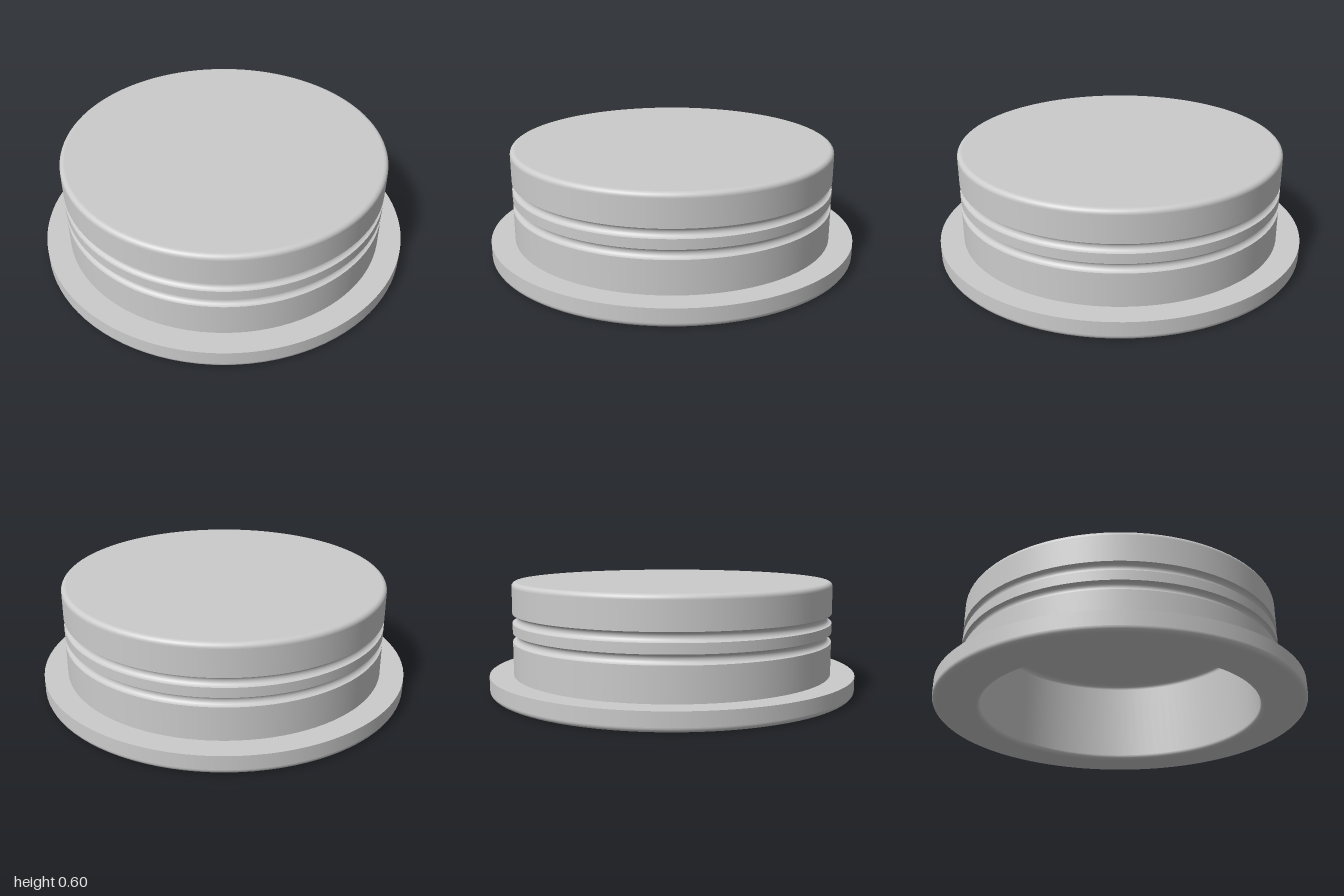
import * as THREE from 'three';

const SEGMENTS = 96;
const FILLET = 0.025;

// Points of an arc in the (radius, height) plane, angles in degrees
function arc(r, y, radius, from, to, steps = 8) {
  return Array.from({ length: steps + 1 }, (_, i) => {
    const a = THREE.MathUtils.degToRad(from + ((to - from) * i) / steps);
    return [r + radius * Math.cos(a), y + radius * Math.sin(a)];
  });
}

export function createModel() {
  const group = new THREE.Group();
  const material = new THREE.MeshStandardMaterial({ color: 0xcccccc });

  // Each run is its own lathe, so the edges between runs stay crisp
  function part(name, ...runs) {
    const g = new THREE.Group();
    g.name = name;
    runs.forEach((run, i) => {
      const pts = run.map(([r, y]) => new THREE.Vector2(Math.max(r, 0), y));
      const mesh = new THREE.Mesh(new THREE.LatheGeometry(pts, SEGMENTS), material);
      mesh.name = `${name}Surface${i + 1}`;
      g.add(mesh);
    });
    group.add(g);
  }

  const bore = 0.755, ceiling = 0.5;
  const body = 0.872, top = 0.6, flangeTop = 0.1;
  const grooves = [0.303, 0.405];

  // Hollow underside: ceiling, rounded corner, wall and rounded mouth
  part('cavity',
    [[0, ceiling], [bore - FILLET, ceiling]],
    arc(bore - FILLET, ceiling - FILLET, FILLET, 90, 0),
    [[bore, ceiling - FILLET], [bore, FILLET]],
    arc(bore + FILLET, FILLET, FILLET, 180, 270));

  // Wide base ring with a rounded lower edge
  part('flange',
    [[bore + FILLET, 0], [1 - FILLET, 0]],
    arc(1 - FILLET, FILLET, FILLET, -90, 0),
    [[1, FILLET], [1, flangeTop]],
    [[1, flangeTop], [body, flangeTop]]);

  // Plug wall broken by two half-round grooves
  const half = 0.025;
  const walls = [];
  let y = flangeTop;
  for (const g of grooves) {
    walls.push([[body, y], [body, g - half]]);
    y = g + half;
  }
  walls.push([[body, y], [body, top - FILLET]]);
  part('plugWall', ...walls);
  part('sealGrooves', ...grooves.map((g) => arc(body, g, half, 270, 90, 12)));

  // Flat cap with a rounded shoulder
  part('cap',
    arc(body - FILLET, top - FILLET, FILLET, 0, 90),
    [[body - FILLET, top], [0, top]]);

  return group;
}
